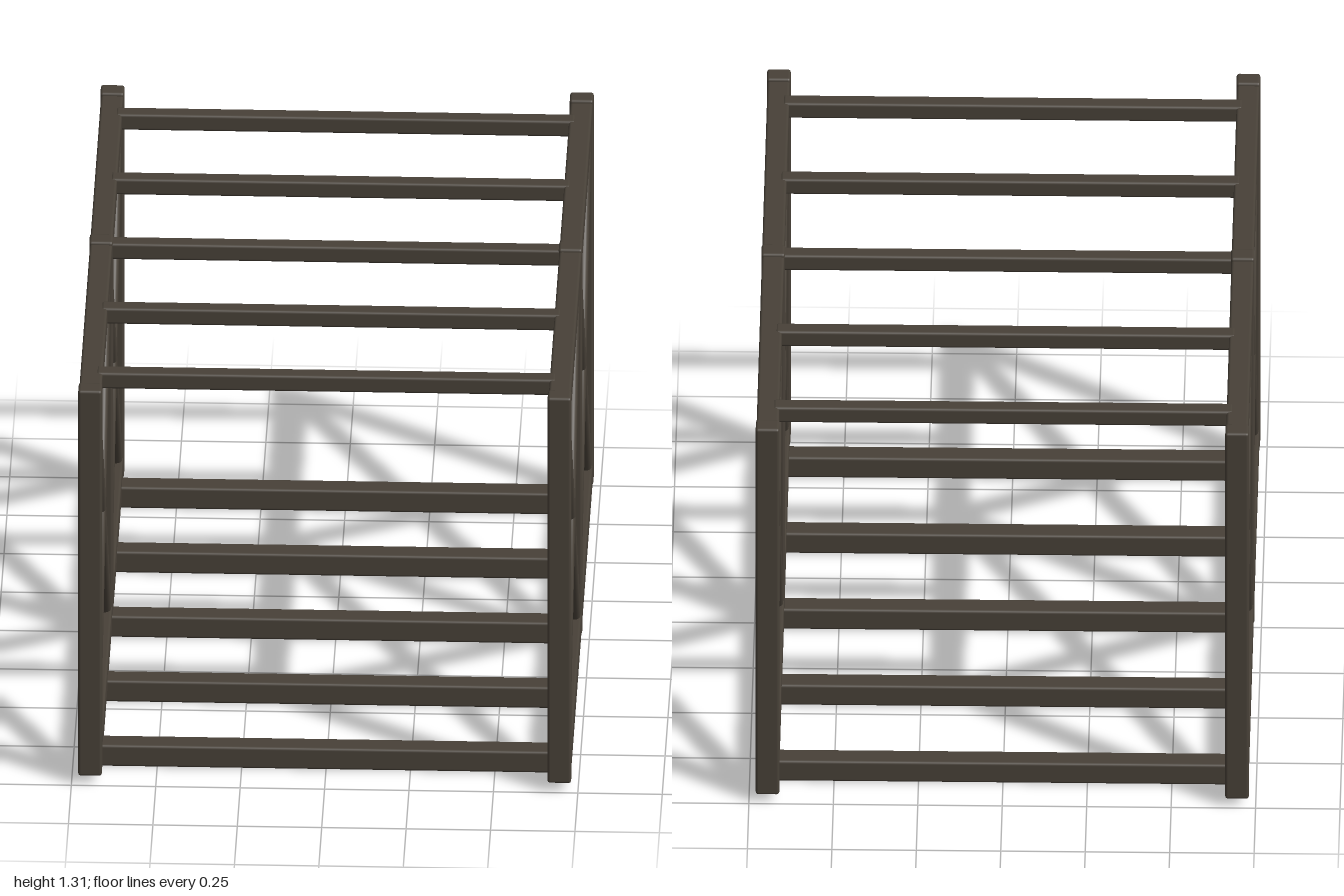
import * as THREE from 'three';
import { RoundedBoxGeometry } from 'three/addons/geometries/RoundedBoxGeometry.js';

export function createModel() {
  const model = new THREE.Group();
  model.name = 'trussSection';
  const steel = new THREE.MeshStandardMaterial({ color: 0x484138 });
  steel.name = 'dark steel';

  // Bar with softened edges
  function bar(name, size, position, radius = 0.008) {
    const mesh = new THREE.Mesh(new RoundedBoxGeometry(...size, 2, radius), steel);
    mesh.name = name;
    mesh.position.set(...position);
    model.add(mesh);
    return mesh;
  }

  // Diagonal brace in a side frame, between two (z, y) points
  function brace(x, z0, y0, z1, y1) {
    const dz = z1 - z0, dy = y1 - y0;
    const mesh = bar('diagonalBrace', [0.06, 0.062, Math.hypot(dz, dy)],
      [x, (y0 + y1) / 2, (z0 + z1) / 2], 0.018);
    mesh.rotation.x = -Math.atan2(dy, dz);
  }

  // Two side frames: posts, rails and crossed braces
  for (const side of [-1, 1]) {
    const x = side * 0.695;
    for (const z of [-0.97, 0, 0.97]) {
      bar('post', [0.07, 1.28, 0.06], [x, 0.67, z]);
    }
    bar('topRail', [0.066, 0.066, 1.99], [x, 1.268, 0]);
    bar('bottomRail', [0.066, 0.07, 1.99], [x, 0.065, 0]);
    for (const end of [-1, 1]) {
      brace(x, end * 0.02, 0.09, end * 0.95, 1.24);
      brace(x, end * 0.02, 1.24, end * 0.95, 0.09);
    }
  }

  // Cross members joining the side frames
  for (let i = -2; i <= 2; i++) {
    bar('topCrossbar', [1.36, 0.052, 0.052], [0, 1.277, i * 0.421]);
    bar('floorJoist', [1.42, 0.07, 0.07], [0, 0.035, i * 0.42]);
  }
  return model;
}
